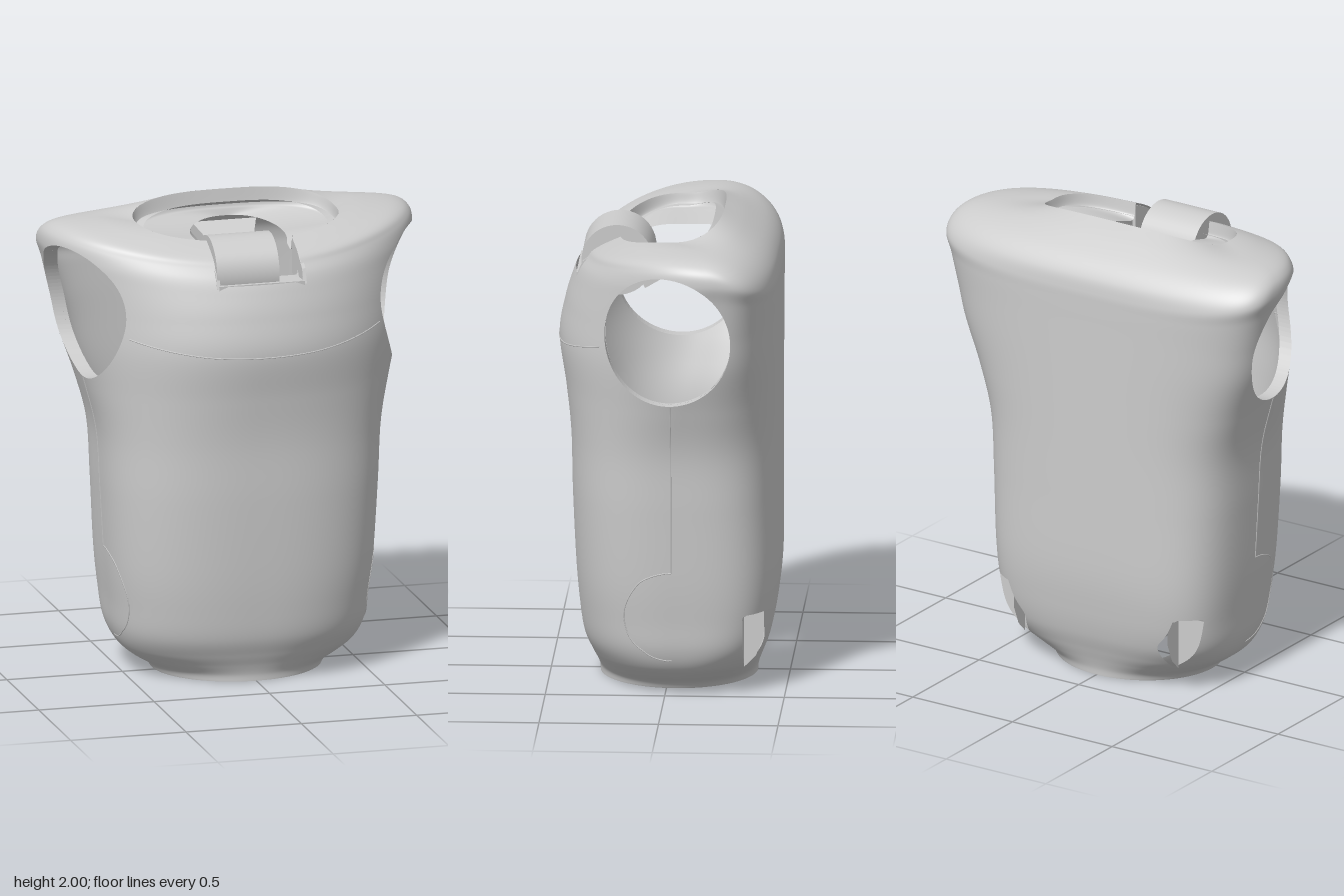
import * as THREE from 'three';

const mat = new THREE.MeshStandardMaterial({ color: 0xcccccc, side: THREE.DoubleSide });

// Cross-sections: ySide, yFront, yBack, halfWidth, zWidest, zFront, zBack, frontPower, backPower
const flat = (y, ...rest) => [y, y, y, ...rest];
const BODY = [
  flat(0, 0.362, -0.035, 0.293, -0.365, 2, 2),
  flat(0.03, 0.385, -0.035, 0.295, -0.368, 2, 2.1),
  flat(0.07, 0.45, -0.035, 0.308, -0.38, 2.1, 2.4),
  flat(0.12, 0.505, -0.035, 0.33, -0.398, 2.25, 2.9),
  flat(0.2, 0.538, -0.035, 0.36, -0.425, 2.45, 3.5),
  flat(0.32, 0.552, -0.035, 0.377, -0.447, 2.6, 3.8),
  flat(0.5, 0.57, -0.035, 0.392, -0.464, 2.7, 3.7),
  flat(0.8, 0.588, -0.035, 0.406, -0.465, 2.7, 3.5),
  flat(1.05, 0.605, -0.045, 0.413, -0.465, 2.6, 3.4),
  flat(1.25, 0.655, -0.09, 0.435, -0.465, 2.35, 3.3),
  flat(1.45, 0.72, -0.15, 0.464, -0.465, 2.1, 3.2),
  flat(1.6, 0.75, -0.18, 0.44, -0.465, 2.05, 3.2),
  [1.75, 1.7, 1.7, 0.78, -0.2, 0.41, -0.465, 2, 3.2],
  [1.83, 1.76, 1.76, 0.8, -0.22, 0.385, -0.463, 2, 3.1],
  [1.89, 1.8, 1.82, 0.782, -0.19, 0.355, -0.448, 2, 2.8],
  [1.925, 1.83, 1.88, 0.715, -0.16, 0.33, -0.402, 2.1, 2.5],
  [1.94, 1.86, 1.945, 0.57, -0.12, 0.28, -0.315, 2.2, 2.5],
  [1.935, 1.89, 1.995, 0.435, -0.03, 0.215, -0.228, 2.4, 3],
];
const BASIN = [
  BODY.at(-1),
  [1.885, 1.845, 1.93, 0.42, -0.02, 0.207, -0.22, 2.4, 3],
  [1.875, 1.83, 1.91, 0.38, -0.01, 0.205, -0.213, 2.4, 2.8],
  [1.86, 1.8, 1.885, 0.195, 0, 0.203, -0.205, 3, 2.3],
];
const T = 0.045;
const INNER = BODY.map(([a, b, c, w, z, f, k, m, n]) =>
  [a - T * a / 2, b - T * b / 2, c - T * c / 2, w - T, z, f - T, k + T, m, n]);

// Smooth blend between neighbouring cross-sections
function sectionAt(levels, t) {
  const last = levels.length - 1;
  const i = Math.min(Math.floor(t), last - 1), s = t - i;
  const L = k => levels[Math.min(Math.max(k, 0), last)];
  return levels[0].map((_, j) => {
    const a = L(i - 1)[j], b = L(i)[j], c = L(i + 1)[j], d = L(i + 2)[j];
    return b + 0.5 * s * (c - a + s * (2 * a - 5 * b + 4 * c - d + s * (3 * (b - c) + d - a)));
  });
}

function pointAt(levels, angle, t) {
  const [ys, yf, yb, w, zw, zf, zb, nf, nb] = sectionAt(levels, t);
  const c = Math.cos(angle), s = Math.sin(angle), n = s > 0 ? nf : nb;
  const r = 1 / Math.pow(Math.abs(c) ** n + Math.abs(s) ** n, 1 / n);
  const q = s * r;
  const y = ys + ((s > 0 ? yf : yb) - ys) * q * q;
  return new THREE.Vector3(w * c * r, y, zw + (s > 0 ? zf - zw : zw - zb) * q);
}

function loft(levels, cols, rows) {
  const pos = [], idx = [];
  for (let j = 0; j <= rows; j++)
    for (let i = 0; i < cols; i++)
      pos.push(...pointAt(levels, i / cols * Math.PI * 2, j / rows * (levels.length - 1)).toArray());
  for (let j = 0; j < rows; j++)
    for (let i = 0; i < cols; i++) {
      const a = j * cols + i, b = j * cols + (i + 1) % cols;
      idx.push(a, a + cols, b, b, a + cols, b + cols);
    }
  const g = new THREE.BufferGeometry();
  g.setAttribute('position', new THREE.Float32BufferAttribute(pos, 3));
  g.setIndex(idx);
  g.computeVertexNormals();
  return g;
}

// Openings, negative inside: armholes, throat notch, and lower back slots
const armhole = p => Math.abs(p.x) < 0.3 ? 1 : Math.hypot(p.y - 1.567, (p.z + 0.018) * 1.06) - 0.284;
const notch = p => Math.max(Math.abs(p.x) - 0.18, 1.74 - p.y, 0.05 - p.z);
const slot = p => {
  const back = -0.41 + 0.085 * Math.max(0, (0.24 - p.y) / 0.14) ** 2;
  return Math.max(p.z + 0.325, back - p.z, p.y - 0.35, 0.1 - p.y);
};
const openings = p => Math.min(armhole(p), notch(p), slot(p));
const SLOT_FLOOR = 0.385;

// Trim a surface along an opening; side openings also return the wall thickness
function trim(geometry, field) {
  const P = geometry.attributes.position, N = geometry.attributes.normal, I = geometry.index;
  const pos = [], nor = [], wall = [];
  const inward = p => {
    const depth = p.y < 0.6 ? SLOT_FLOOR : Math.abs(p.x) - 0.06;
    return p.clone().setX(Math.sign(p.x) * Math.min(depth, Math.abs(p.x)));
  };
  for (let k = 0; k < I.count; k += 3) {
    const v = [0, 1, 2].map(o => {
      const p = new THREE.Vector3().fromBufferAttribute(P, I.getX(k + o));
      return { p, n: new THREE.Vector3().fromBufferAttribute(N, I.getX(k + o)), f: field(p) };
    });
    const poly = [], cut = [];
    v.forEach((a, i) => {
      const b = v[(i + 1) % 3];
      if (a.f >= 0) poly.push(a);
      if ((a.f >= 0) !== (b.f >= 0)) {
        const s = a.f / (a.f - b.f);
        const m = { p: a.p.clone().lerp(b.p, s), n: a.n.clone().lerp(b.n, s).normalize() };
        poly.push(m);
        cut.push(m.p);
      }
    });
    for (let i = 1; i + 1 < poly.length; i++)
      for (const q of [poly[0], poly[i], poly[i + 1]]) {
        pos.push(...q.p.toArray());
        nor.push(...q.n.toArray());
      }
    if (cut.length === 2 && Math.abs(cut[0].x) > 0.2) {
      const [a, b] = cut, [c, d] = cut.map(inward);
      for (const q of [a, b, c, b, d, c]) wall.push(...q.toArray());
    }
  }
  const make = (a, n) => {
    const g = new THREE.BufferGeometry();
    g.setAttribute('position', new THREE.Float32BufferAttribute(a, 3));
    if (n) g.setAttribute('normal', new THREE.Float32BufferAttribute(n, 3));
    else g.computeVertexNormals();
    return g;
  };
  return { surface: make(pos, nor), wall: make(wall) };
}

// Surface lookups for the seams
function levelOf(y) {
  let i = 0;
  while (i < 10 && BODY[i + 1][0] < y) i++;
  return i + (y - BODY[i][0]) / (BODY[i + 1][0] - BODY[i][0]);
}
function sidePoint(z, y) {
  let lo = -Math.PI / 2, hi = Math.PI / 2;
  for (let k = 0; k < 30; k++) {
    const mid = (lo + hi) / 2;
    if (pointAt(BODY, mid, levelOf(y)).z < z) lo = mid; else hi = mid;
  }
  return pointAt(BODY, lo, levelOf(y));
}

export function createModel() {
  const group = new THREE.Group();
  const add = (name, geometry) => {
    const m = new THREE.Mesh(geometry, mat);
    m.name = name;
    group.add(m);
    return m;
  };
  const polygon = pts => new THREE.Shape(pts.map(([x, y]) => new THREE.Vector2(x, y)));

  // Hollow torso shell with its openings
  const outer = trim(loft(BODY, 192, 160), openings);
  add('torsoShell', outer.surface);
  add('armholeAndSlotWalls', outer.wall);
  add('innerShell', trim(loft(INNER, 120, 90), openings).surface);
  add('waistRim', loft([BODY[0], INNER[0]], 96, 1));
  add('neckBasin', trim(loft(BASIN, 128, 24), notch).surface);

  // Throat notch cheeks and ledge
  const cheek = polygon([[-0.385, 1.73], [-0.36, 1.79], [-0.28, 1.85], [-0.2, 1.885], [-0.2, 1.73]]);
  for (const side of [-1, 1]) {
    const g = new THREE.ExtrudeGeometry(cheek, { depth: 0.015, bevelEnabled: false });
    g.rotateY(Math.PI / 2);
    add('notchCheek', g).position.x = side * 0.187 - 0.0075;
  }
  add('notchLedge', new THREE.BoxGeometry(0.37, 0.025, 0.105)).position.set(0, 1.73, 0.333);

  // Floors of the lower back slots
  const slotFloor = polygon([[-0.325, 0.1], [-0.325, 0.35], [-0.41, 0.35], [-0.408, 0.23], [-0.375, 0.15]]);
  for (const side of [-1, 1]) {
    const g = new THREE.ShapeGeometry(slotFloor);
    g.rotateY(-Math.PI / 2);
    add('slotFloor', g).position.x = side * SLOT_FLOOR;
  }

  // Neck catch: a barrel on an hourglass strap
  const barrel = new THREE.CylinderGeometry(0.15, 0.15, 0.27, 48);
  barrel.rotateZ(Math.PI / 2);
  add('catchBarrel', barrel).position.set(-0.055, 1.77, 0.22);
  const half = [[0.14, -0.03], [0.055, 0.22], [0.05, 0.26], [0.09, 0.35]];
  const strap = polygon([...half, ...half.map(([x, s]) => [-x, s]).reverse()]);
  const strapGeo = new THREE.ExtrudeGeometry(strap, { depth: 0.05, bevelEnabled: false });
  strapGeo.rotateX(Math.PI / 2 + 0.45);
  add('catchStrap', strapGeo).position.set(0, 1.85, -0.19);

  // Fine seams: front yoke, side joints and hip curves
  const seam = (name, pts) => add(name,
    new THREE.TubeGeometry(new THREE.CatmullRomCurve3(pts), 64, 0.003, 5));
  const steps = Array.from({ length: 25 }, (_, i) => i / 24);
  seam('yokeSeam', steps.map(s => {
    const k = s * 2 - 1;
    return pointAt(BODY, Math.PI / 2 - k * 0.82, levelOf(1.44 + 0.065 * k * k));
  }));
  for (const side of [-1, 1]) {
    const mirror = p => p.setX(p.x * side);
    seam('sideSeam', steps.map(s => mirror(sidePoint(-0.03, 0.55 + s * 0.73))));
    seam('hipSeam', steps.map(s => {
      const a = Math.PI / 2 - s * Math.PI;
      return mirror(sidePoint(-0.03 + 0.2 * Math.cos(a), 0.355 + 0.195 * Math.sin(a)));
    }));
  }
  return group;
}
